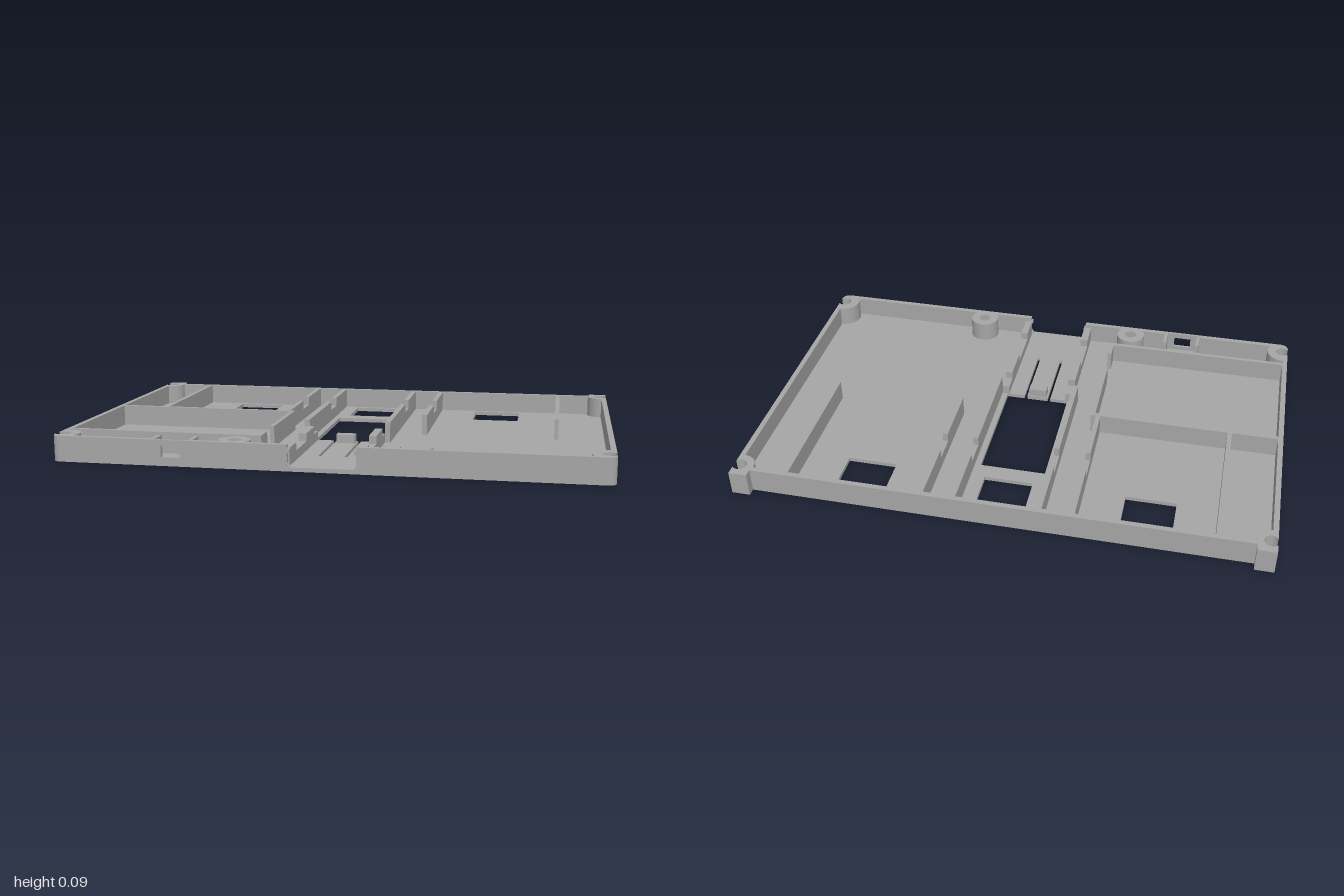
import * as THREE from 'three';

const H = 0.095, T = 0.015;            // total height, floor thickness
const HX = 0.979, HZ = 0.585, HR = 0.027; // corner screw holes

export function createModel() {
  const root = new THREE.Group();
  root.name = 'enclosureTray';
  const grey = new THREE.MeshStandardMaterial({ color: 0xa6a6a6 });
  grey.name = 'grey plastic';

  const add = (name, geo) => {
    const m = new THREE.Mesh(geo, grey);
    m.name = name;
    root.add(m);
    return m;
  };
  const box = (name, x0, x1, z0, z1, y0 = T, y1 = H) => {
    const g = new THREE.BoxGeometry(x1 - x0, y1 - y0, z1 - z0);
    g.translate((x0 + x1) / 2, (y0 + y1) / 2, (z0 + z1) / 2);
    return add(name, g);
  };
  // plan outlines are [x, z] points
  const vecs = (pts) => pts.map(([x, z]) => new THREE.Vector2(x, -z));
  const arc = (cx, cz, r, a0, a1, n = 20) => Array.from({ length: n + 1 }, (_, i) => {
    const a = a0 + (a1 - a0) * i / n;
    return [cx + r * Math.cos(a), cz + r * Math.sin(a)];
  });
  const rect = (x0, x1, z0, z1) => [[x0, z0], [x1, z0], [x1, z1], [x0, z1]];
  const plan = (name, pts, y0, y1, holes = []) => {
    const s = new THREE.Shape(vecs(pts));
    holes.forEach((h) => s.holes.push(new THREE.Path(vecs(h))));
    const g = new THREE.ExtrudeGeometry(s, { depth: y1 - y0, bevelEnabled: false });
    g.rotateX(-Math.PI / 2);
    g.translate(0, y0, 0);
    return add(name, g);
  };
  const mirror = (pts, s) => pts.map(([x, z]) => [x * s, z]);

  // corner edges, running from the front to the back along +x
  const open = Math.acos((1 - HX) / HR);
  const notch = (z) => arc(HX, z, HR, open, 2 * Math.PI - open);
  const frontEdge = [...arc(0.97, 0.61, 0.03, Math.PI / 2, 0, 6), ...notch(HZ)];
  const backEdge = [...notch(-HZ), [1, -0.64], [0.93, -0.64], [0.93, -0.61]];

  // floor with windows, screw holes and the clip slits
  const half = [...frontEdge, ...backEdge];
  const bossX = [-0.328, 0.325];
  plan('floor', [...half, ...mirror(half, -1).reverse()], 0, T, [
    rect(-0.635, -0.445, -0.57, -0.375),
    rect(-0.094, 0.092, -0.57, -0.375),
    rect(0.44, 0.63, -0.57, -0.375),
    [[-0.127, -0.31], [0.124, -0.31], [0.124, 0.16], [0.053, 0.16], [0.053, 0.44], [0.042, 0.44],
      [0.042, 0.16], [-0.044, 0.16], [-0.044, 0.44], [-0.055, 0.44], [-0.055, 0.16], [-0.127, 0.16]],
    ...bossX.map((x) => arc(x, HZ, 0.024, 0, Math.PI * 2 * 23 / 24, 23)),
  ]);

  // corner bosses, with the rear ears
  const R1 = 0.064, R2 = 0.055;
  const f0 = Math.PI - Math.asin(0.035 / R1), f1 = Math.PI * 1.5;
  const b0 = Math.PI / 2, b1 = Math.PI + Math.asin(0.005 / R2);
  const frontCorner = [...frontEdge, [1, HZ - R1], ...arc(HX, HZ, R1, f0, f1, 12).reverse(), [0.91, 0.62], [0.91, 0.64]];
  const backCorner = [...backEdge, [0.92, -0.61], [0.92, -0.59],
    ...arc(HX, -HZ, R2, b0, b1, 12).reverse(), [1, -HZ + R2]];
  for (const s of [1, -1]) {
    const side = s > 0 ? 'left' : 'right';
    plan(side + 'FrontCornerBoss', mirror(frontCorner, s), T, H);
    plan(side + 'BackCornerBoss', mirror(backCorner, s), T, H);
    const [x0, x1] = s > 0 ? [0.98, 1] : [-1, -0.98];
    box(side + 'Wall', x0, x1, -HZ + R2, HZ - R1);
  }

  // back and front walls
  box('backWall', -0.92, 0.92, -0.61, -0.59);
  box('frontWallLeft', 0.125, 0.91, 0.62, 0.64);
  box('frontWallMiddle', -0.485, -0.125, 0.62, 0.64);
  box('frontWallRight', -0.91, -0.615, 0.62, 0.64);

  // thin port panel with a rectangular opening
  const port = new THREE.Shape([[-0.615, T], [-0.485, T], [-0.485, H], [-0.615, H]]
    .map(([x, y]) => new THREE.Vector2(x, y)));
  port.holes.push(new THREE.Path([[-0.585, 0.032], [-0.585, 0.074], [-0.515, 0.074], [-0.515, 0.032]]
    .map(([x, y]) => new THREE.Vector2(x, y))));
  const portGeo = new THREE.ExtrudeGeometry(port, { depth: 0.01, bevelEnabled: false });
  portGeo.translate(0, 0, 0.63);
  add('portPanel', portGeo);
  box('portRib', -0.625, -0.61, 0.555, 0.62);
  box('portRib', -0.487, -0.472, 0.555, 0.62);

  // front screw bosses, flush with the front wall
  for (const x of bossX) {
    const a = Math.asin(0.035 / 0.058);
    plan('frontBoss', arc(x, HZ, 0.058, Math.PI - a, 2 * Math.PI + a, 28), T, H,
      [arc(x, HZ, 0.024, 0, Math.PI * 2 * 23 / 24, 23)]);
  }

  // toothed ends of the front opening
  for (const s of [1, -1]) {
    const end = new THREE.Shape([[0.126, T], [0.112, T], [0.123, 0.03], [0.123, 0.064],
      [0.115, 0.07], [0.115, 0.078], [0.123, 0.084], [0.123, H], [0.126, H]]
      .map(([x, y]) => new THREE.Vector2(x * s, y)));
    const g = new THREE.ExtrudeGeometry(end, { depth: 0.02, bevelEnabled: false });
    g.translate(0, 0, 0.62);
    add('openingTooth', g);
  }

  // long dividers with a lowered saddle
  const saddleWall = (name, x0, x1, zEnd) => {
    box(name, x0, x1, -0.59, -0.35);
    box(name + 'Saddle', x0, x1, -0.35, -0.25, T, 0.06);
    box(name, x0, x1, -0.25, zEnd);
  };
  saddleWall('rightDivider', -0.29, -0.272, -0.017);
  saddleWall('leftDivider', 0.268, 0.288, -0.012);
  saddleWall('channelWallRight', -0.17, -0.15, 0.165);
  saddleWall('channelWallLeft', 0.147, 0.167, 0.165);

  // compartment walls
  box('outerDividerRight', -0.805, -0.787, -0.59, -0.017);
  box('outerDividerLeft', 0.787, 0.803, -0.59, -0.012);
  box('compartmentBack', -0.98, -0.252, -0.017, 0);
  box('compartmentFront', -0.98, -0.252, 0.487, 0.503);
  box('compartmentSide', -0.268, -0.252, 0, 0.32);
  box('compartmentSide', -0.268, -0.252, 0.42, 0.487);

  // stepped slide rails beside the clip
  const steps = [[0.16, 0.22, 0.05], [0.22, 0.36, 0.08], [0.36, 0.52, 0.05], [0.52, 0.62, 0.08]];
  for (const [z0, z1, y] of steps) {
    box('slideRailRight', -0.148, -0.118, z0, z1, T, y);
    box('slideRailLeft', 0.118, 0.146, z0, z1, T, y);
  }

  // catch on the spring clip
  box('clipCatch', -0.037, 0.035, 0.165, 0.203, T, 0.047);

  return root;
}
